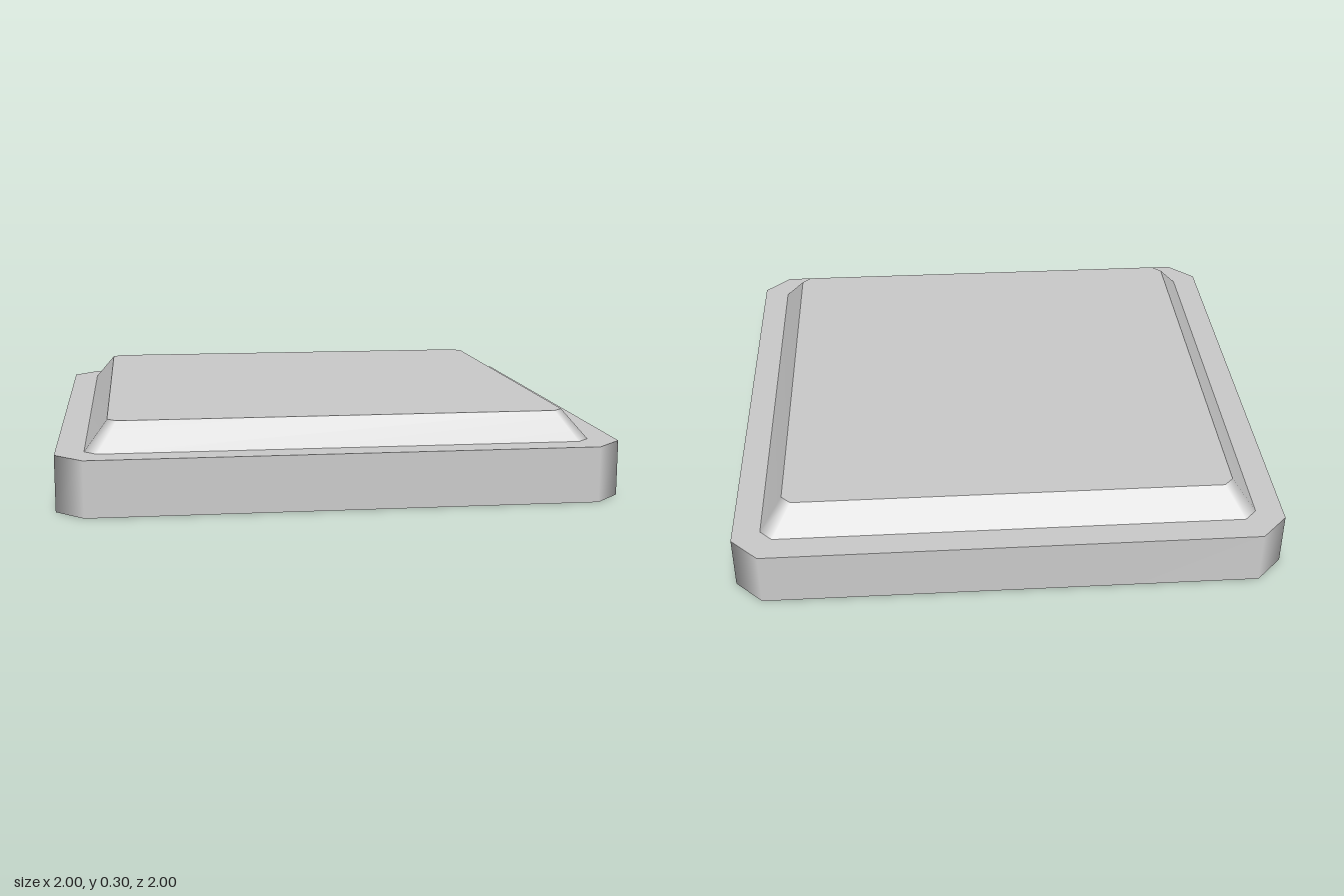
import * as THREE from 'three';

// Square outline with cut corners, counter-clockwise from above: half width h, corner cut c
function outline(h, c) {
  const k = h - c;
  return [[h, -k], [h, k], [k, h], [-k, h], [-h, k], [-h, -k], [-k, -h], [k, -h]];
}

// Band joining two outlines, smooth around its corners
function band(from, to) {
  const positions = [], index = [];
  for (const { h, c, y } of [from, to]) {
    for (const [x, v] of outline(h, c)) positions.push(x, y, -v);
  }
  for (let i = 0; i < 8; i++) {
    const j = (i + 1) % 8;
    index.push(i, j, j + 8, i, j + 8, i + 8);
  }
  const geometry = new THREE.BufferGeometry();
  geometry.setAttribute('position', new THREE.Float32BufferAttribute(positions, 3));
  geometry.setIndex(index);
  geometry.computeVertexNormals();
  return geometry;
}

export function createModel() {
  const group = new THREE.Group();
  group.name = 'hollowTile';
  const solid = new THREE.MeshStandardMaterial({ color: 0xcccccc });
  const thin = new THREE.MeshStandardMaterial({ color: 0xcccccc, side: THREE.DoubleSide });

  const add = (name, geometry, material) => {
    const mesh = new THREE.Mesh(geometry, material);
    mesh.name = name;
    group.add(mesh);
  };

  const outerFoot = { h: 1, c: 0.1, y: 0 };
  const outerLip = { h: 1, c: 0.1, y: 0.2 };
  const innerFoot = { h: 0.9, c: 0.045, y: 0 };
  const innerLip = { h: 0.9, c: 0.045, y: 0.2 };
  const crown = { h: 0.82, c: 0.034, y: 0.3 };

  // Border frame, open underneath
  add('outerWall', band(outerFoot, outerLip), solid);
  add('ledge', band(outerLip, innerLip), solid);
  add('innerWall', band(innerLip, innerFoot), solid);
  add('bottomRim', band(innerFoot, outerFoot), solid);

  // Thin raised panel, visible from above and from inside the hollow
  add('bevel', band(innerLip, crown), thin);
  const shape = new THREE.Shape(outline(crown.h, crown.c).map(([x, v]) => new THREE.Vector2(x, v)));
  const panel = new THREE.ShapeGeometry(shape);
  panel.rotateX(-Math.PI / 2);
  panel.translate(0, crown.y, 0);
  add('topPanel', panel, thin);

  return group;
}
